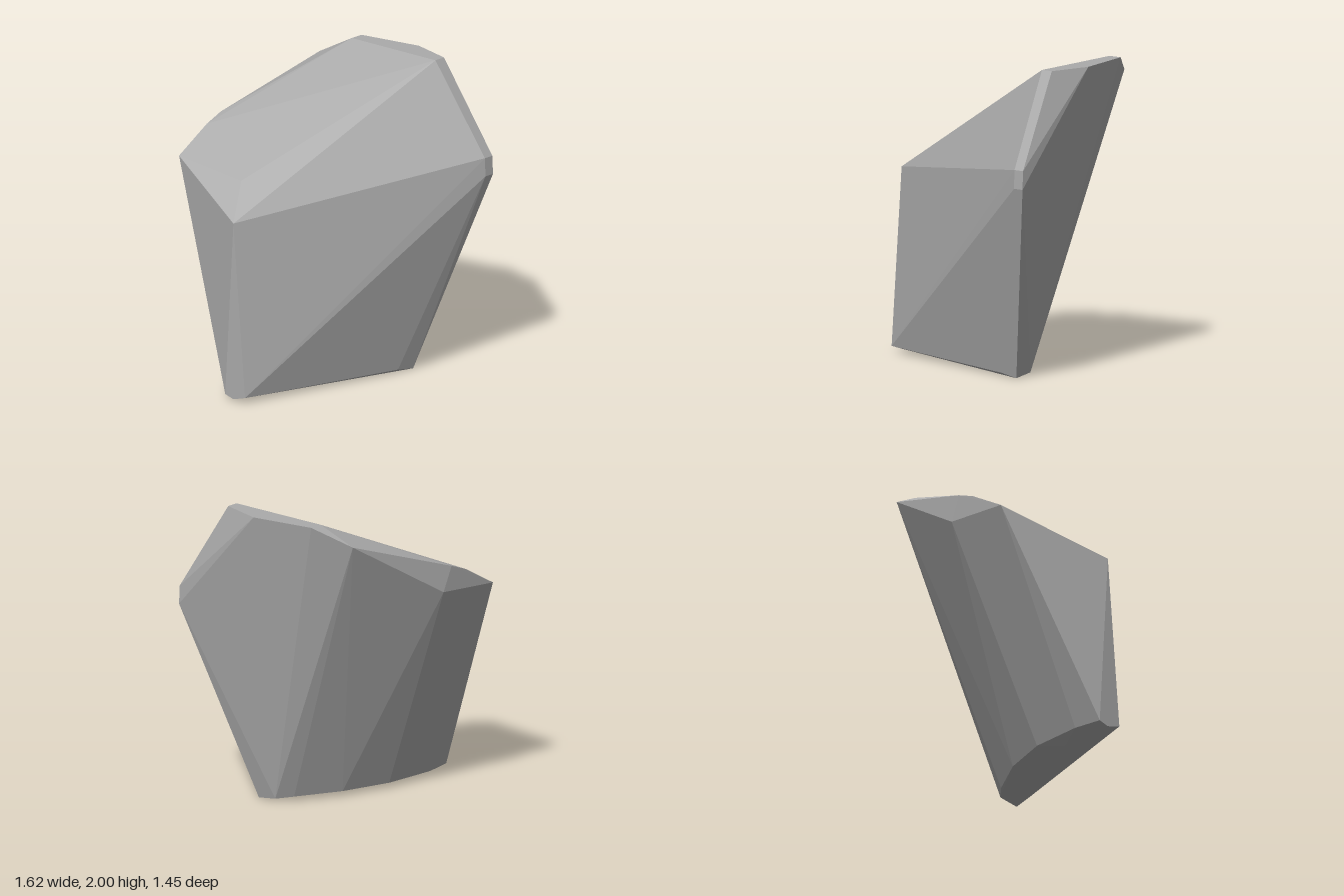
import * as THREE from 'three';
import { ConvexGeometry } from 'three/addons/geometries/ConvexGeometry.js';

export function createModel() {
  const group = new THREE.Group();
  group.name = 'rock';

  const stone = new THREE.MeshStandardMaterial({ color: 0xaaaaaa, flatShading: true });
  stone.name = 'grey stone';

  // Flat crown at the top right
  const crown = [
    [0.64, 2, -0.34], [0.73, 2, -0.34], [0.81, 2, 0.08], [0.74, 2, 0.36], [0.66, 2, 0.36],
  ];
  // Blunt nose of the front face
  const nose = [
    [0.73, 1.41, 0.72], [0.8, 1.41, 0.72], [0.73, 1.29, 0.725], [0.8, 1.29, 0.725],
  ];
  // Sloping shoulder and back rim
  const shoulder = [
    [-0.81, 1.18, -0.03], [-0.56, 1.37, -0.19], [-0.56, 1.42, -0.725], [-0.3, 1.57, -0.725],
    [-0.17, 1.62, -0.725], [-0.1, 1.46, -0.72], [0.5, 1.855, -0.57], [0.58, 1.88, -0.56],
  ];
  // Foot outline: front edge, then the curved back edge
  const foot = [
    [-0.81, 0.04, 0.07], [0.32, 0.02, 0.35], [0.45, 0, 0.36], [0.45, 0.02, 0.22],
    [0.36, 0.03, 0.14], [0.08, 0.035, -0.02], [-0.25, 0.035, -0.12], [-0.62, 0.03, -0.135],
    [-0.81, 0.03, -0.1], [-0.81, 0.01, -0.03], [-0.43, 0, -0.04],
  ];

  // Faceted body spanning all the corners
  const corners = [...crown, ...nose, ...shoulder, ...foot].map((p) => new THREE.Vector3(...p));
  const body = new THREE.Mesh(new ConvexGeometry(corners), stone);
  body.name = 'rockBody';
  group.add(body);
  return group;
}
